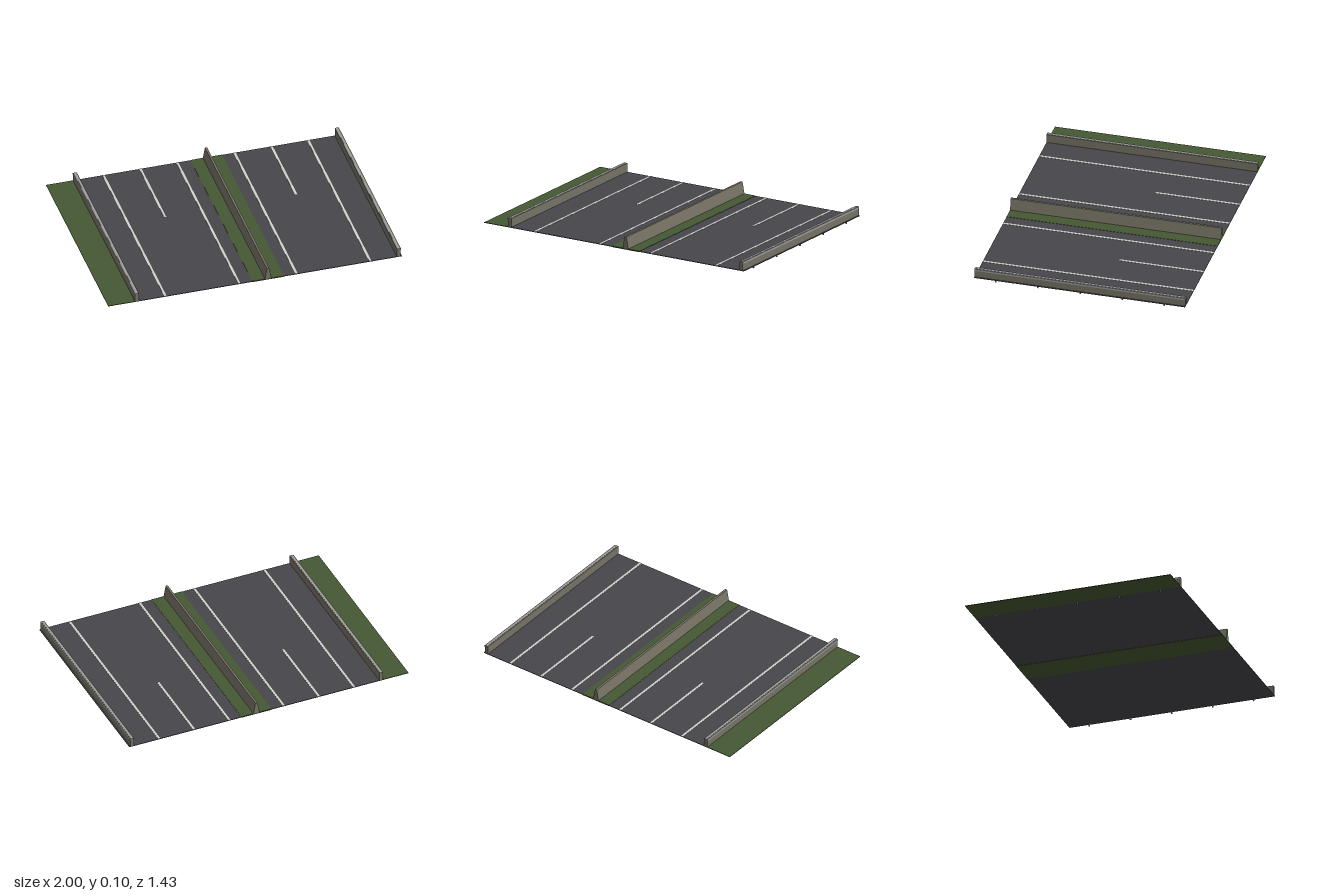
import * as THREE from 'three';

export function createModel() {
  const root = new THREE.Group();
  root.name = 'dividedHighway';

  const material = (name, color) => {
    const m = new THREE.MeshStandardMaterial({ color });
    m.name = name;
    return m;
  };
  const asphalt = material('asphalt', 0x47464b);
  const grass = material('grass', 0x455832);
  const paint = material('lane paint', 0xd2d2cc);
  const concrete = material('concrete', 0x757164);
  const steel = material('galvanised steel', 0x9c9e9e);

  const LENGTH = 1.428;
  const HALF = LENGTH / 2;

  // Box given by its limits on each axis
  function slab(name, mat, x0, x1, y0, y1, z0 = -HALF, z1 = HALF, parent = root) {
    const mesh = new THREE.Mesh(new THREE.BoxGeometry(x1 - x0, y1 - y0, z1 - z0), mat);
    mesh.position.set((x0 + x1) / 2, (y0 + y1) / 2, (z0 + z1) / 2);
    mesh.name = name;
    parent.add(mesh);
    return mesh;
  }

  // Ground strips
  slab('grassVerge', grass, -1, -0.805, 0.017, 0.021);
  slab('rightCarriageway', asphalt, -0.805, -0.018, 0.017, 0.021);
  slab('medianGrass', grass, -0.018, 0.197, 0.015, 0.023);
  slab('leftCarriageway', asphalt, 0.197, 1, 0.017, 0.021);

  // Solid edge lines, then the lane dashes
  for (const x of [-0.61, -0.107, 0.283, 0.785]) {
    slab('edgeLine', paint, x - 0.0075, x + 0.0075, 0.021, 0.0225);
  }
  for (const x of [-0.358, 0.535]) {
    slab('laneDash', paint, x - 0.0075, x + 0.0075, 0.021, 0.0225, -HALF, -0.143);
  }

  // Tapered median barrier
  const profile = new THREE.Shape([
    [-0.022, 0.02], [0.022, 0.02], [0.019, 0.036], [0.0075, 0.102], [-0.0075, 0.102], [-0.019, 0.036],
  ].map(([x, y]) => new THREE.Vector2(x, y)));
  const medianBarrier = new THREE.Mesh(
    new THREE.ExtrudeGeometry(profile, { depth: LENGTH, bevelEnabled: false }), concrete);
  medianBarrier.position.set(0.089, 0, -HALF);
  medianBarrier.name = 'medianBarrier';
  root.add(medianBarrier);

  // Roadside barriers; side is the direction of the outer face
  function roadsideBarrier(name, x, side) {
    const group = new THREE.Group();
    group.name = name;
    group.position.x = x;
    slab('barrierWall', concrete, -0.013, 0.013, 0.02, 0.08, -HALF, HALF, group);
    slab('topRail', steel, -0.007, 0.007, 0.08, 0.0815, -HALF, HALF, group);
    const face = side * 0.0135;
    slab('sideRail', steel, face - 0.001, face + 0.001, 0.067, 0.08, -HALF, HALF, group);
    for (let i = -2; i <= 2; i++) {
      const z = i * 0.2855;
      const px = side > 0 ? 0.007 : 0;
      slab('post', steel, px - 0.004, px + 0.004, 0, 0.07, z - 0.004, z + 0.004, group);
    }
    root.add(group);
  }
  roadsideBarrier('rightBarrier', -0.804, -1);
  roadsideBarrier('leftBarrier', 0.979, 1);

  return root;
}
